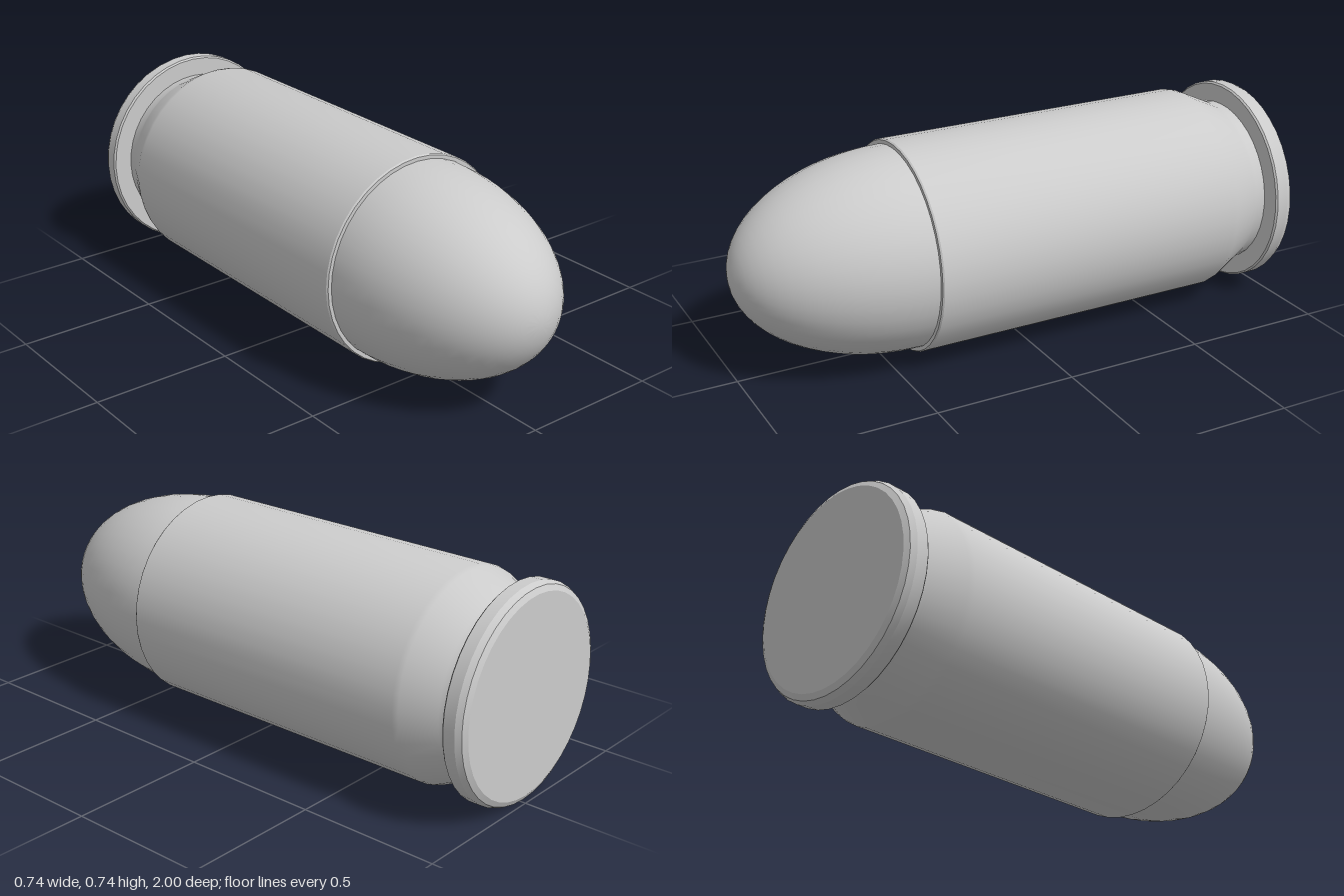
import * as THREE from 'three';
import { toCreasedNormals } from 'three/addons/utils/BufferGeometryUtils.js';

const SIDES = 40;
const AXIS_HEIGHT = 0.375;

// Turn a [radius, z] profile (listed back to front) around the z axis
function turned(name, profile, material) {
  const points = profile.map(([r, z]) => new THREE.Vector2(r, z));
  const geometry = new THREE.LatheGeometry(points, SIDES).rotateX(Math.PI / 2);
  const mesh = new THREE.Mesh(toCreasedNormals(geometry, 0.45), material);
  mesh.name = name;
  mesh.position.y = AXIS_HEIGHT;
  return mesh;
}

export function createModel() {
  const group = new THREE.Group();
  group.name = 'cartridge';
  const metal = new THREE.MeshStandardMaterial({ color: 0xcccccc });

  // Flat base disc with a bevelled edge
  group.add(turned('rim', [
    [0, -1], [0.343, -1], [0.362, -0.99], [0.372, -0.97],
    [0.372, -0.928], [0.366, -0.922], [0.30, -0.922],
  ], metal));

  // Extractor groove, its sloped shoulder, the straight wall and the mouth lip
  group.add(turned('casing', [
    [0.30, -0.925], [0.305, -0.885], [0.313, -0.868], [0.366, -0.755],
    [0.371, -0.735], [0.371, 0.404], [0.367, 0.41], [0.345, 0.41],
  ], metal));

  // Rounded nose: half an ellipse
  const nose = [[0.354, 0.39]];
  const steps = 16;
  for (let i = 0; i <= steps; i++) {
    const a = (i / steps) * Math.PI / 2;
    nose.push([i === steps ? 0 : 0.354 * Math.cos(a), 0.41 + 0.59 * Math.sin(a)]);
  }
  group.add(turned('nose', nose, metal));

  return group;
}
